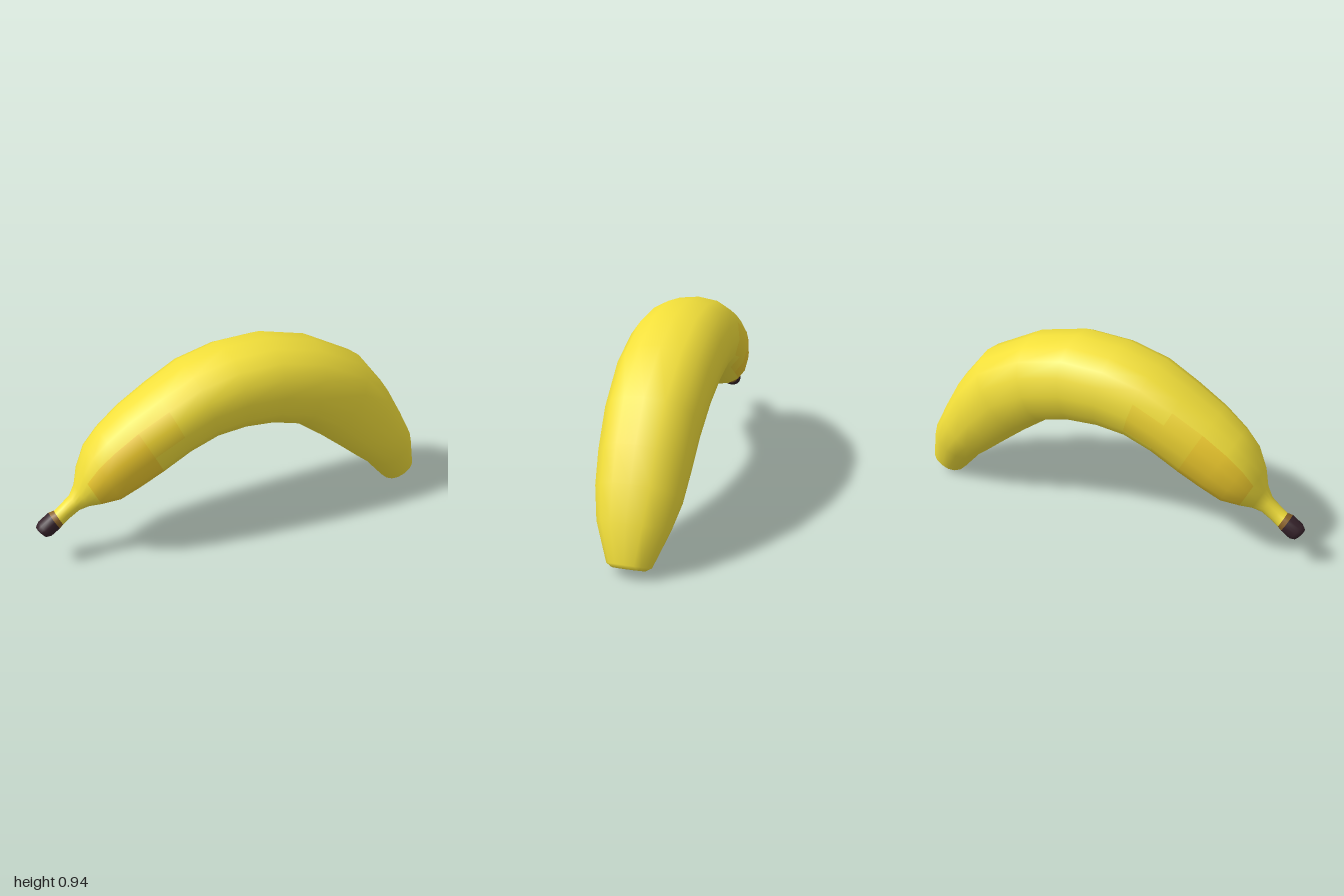
import * as THREE from 'three';

const SIDES = 16;

// Cross-sections from stem tip to blossom end:
// outer curve x, y, inner curve x, y, half depth
const SECTIONS = [
  [-0.98, 0.18, -0.98, 0.18, 0],
  [-0.998, 0.205, -0.955, 0.152, 0.03],
  [-0.982, 0.225, -0.932, 0.158, 0.046],
  [-0.93, 0.262, -0.89, 0.186, 0.045],
  [-0.905, 0.268, -0.872, 0.2, 0.037],
  [-0.873, 0.293, -0.843, 0.223, 0.036],
  [-0.825, 0.332, -0.79, 0.26, 0.042],
  [-0.797, 0.38, -0.745, 0.276, 0.065],
  [-0.775, 0.46, -0.69, 0.285, 0.11],
  [-0.73, 0.56, -0.6, 0.295, 0.152],
  [-0.66, 0.635, -0.5, 0.345, 0.174],
  [-0.55, 0.72, -0.39, 0.405, 0.192],
  [-0.4, 0.805, -0.26, 0.485, 0.207],
  [-0.24, 0.89, -0.13, 0.535, 0.217],
  [-0.04, 0.94, 0, 0.545, 0.222],
  [0.18, 0.945, 0.15, 0.53, 0.227],
  [0.42, 0.88, 0.3, 0.485, 0.226],
  [0.67, 0.74, 0.42, 0.39, 0.216],
  [0.8, 0.57, 0.54, 0.29, 0.208],
  [0.88, 0.42, 0.64, 0.205, 0.196],
  [0.955, 0.27, 0.73, 0.13, 0.165],
  [0.995, 0.09, 0.84, 0.002, 0.1],
  [0.98, 0.062, 0.87, 0.002, 0.075],
  [0.965, 0.056, 0.895, 0.014, 0.045],
  [0.955, 0.058, 0.9, 0.024, 0.038],
  [0.926, 0.045, 0.926, 0.045, 0],
];

// Slightly squared ellipse
const squared = (v) => Math.sign(v) * Math.pow(Math.abs(v), 0.88);

function buildSkin() {
  const positions = [];
  for (const [ox, oy, ix, iy, depth] of SECTIONS) {
    for (let j = 0; j < SIDES; j++) {
      const a = (j / SIDES) * Math.PI * 2;
      const up = squared(Math.cos(a)) / 2;
      positions.push(
        (ox + ix) / 2 + (ox - ix) * up,
        (oy + iy) / 2 + (oy - iy) * up,
        depth * squared(Math.sin(a)),
      );
    }
  }
  return new THREE.Float32BufferAttribute(positions, 3);
}

// Which part each patch of skin belongs to
function partAt(ring, side) {
  if (ring < 3) return 'stemTip';
  if (ring === 3) return 'stemBand';
  if (ring >= 23) return 'blossomEnd';
  const front = side >= 2 && side <= 5;
  const back = side >= 10 && side <= 13;
  if (ring >= 8 && ring <= 10 && (front || back)) return 'ripePatch';
  if (ring === 11 && (side === 2 || side === 3 || back)) return 'palePatch';
  if (ring === 12 && (side === 11 || side === 12)) return 'palePatch';
  return 'peel';
}

const COLORS = {
  peel: 0xf2df3a,
  ripePatch: 0xefcb2e,
  palePatch: 0xf0d533,
  stemBand: 0x8a6228,
  stemTip: 0x35222a,
  blossomEnd: 0x21121c,
};

export function createModel() {
  const group = new THREE.Group();
  group.name = 'banana';

  const faces = Object.fromEntries(Object.keys(COLORS).map((k) => [k, []]));
  const all = [];
  for (let i = 0; i < SECTIONS.length - 1; i++) {
    for (let j = 0; j < SIDES; j++) {
      const k = (j + 1) % SIDES;
      const a = i * SIDES + j, b = i * SIDES + k;
      const c = a + SIDES, d = b + SIDES;
      const quad = [];
      if (i > 0) quad.push(a, b, c);
      if (i < SECTIONS.length - 2) quad.push(b, d, c);
      else quad.splice(0, 3, a, b, c);
      if (i === 0) quad.splice(0, quad.length, b, d, c);
      faces[partAt(i, j)].push(...quad);
      all.push(...quad);
    }
  }

  // Smooth normals are shared by all parts so the patches blend
  const skin = new THREE.BufferGeometry();
  skin.setAttribute('position', buildSkin());
  skin.setIndex(all);
  skin.computeVertexNormals();

  for (const [name, index] of Object.entries(faces)) {
    const geometry = new THREE.BufferGeometry();
    geometry.setAttribute('position', skin.getAttribute('position'));
    geometry.setAttribute('normal', skin.getAttribute('normal'));
    geometry.setIndex(index);
    const mesh = new THREE.Mesh(geometry, new THREE.MeshStandardMaterial({ color: COLORS[name] }));
    mesh.name = name;
    group.add(mesh);
  }
  return group;
}
